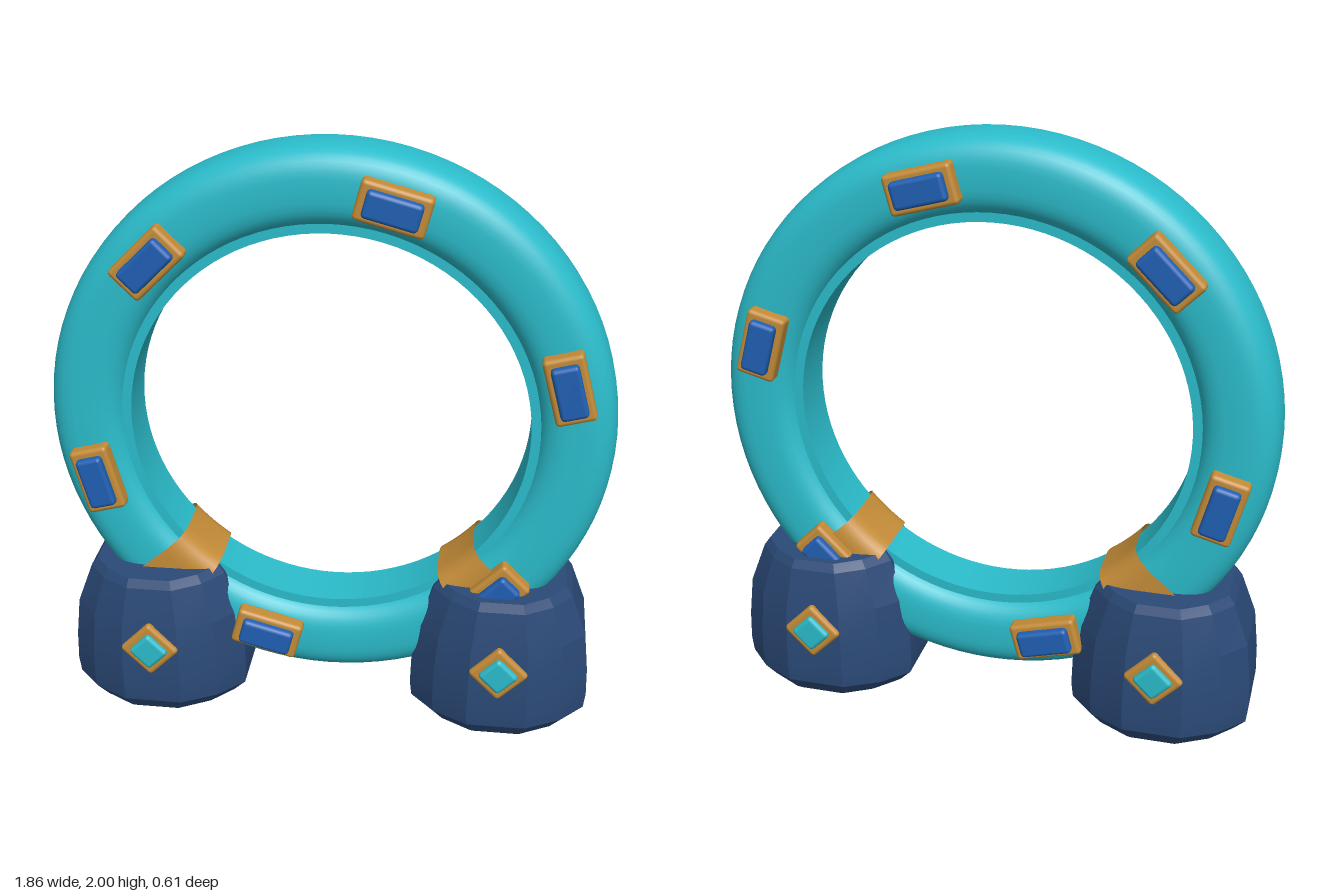
import * as THREE from 'three';
import { toCreasedNormals } from 'three/addons/utils/BufferGeometryUtils.js';
import { RoundedBoxGeometry } from 'three/addons/geometries/RoundedBoxGeometry.js';

const RING_Y = 1.07;

function material(name, color, side = THREE.FrontSide) {
  const m = new THREE.MeshStandardMaterial({ color, side });
  m.name = name;
  return m;
}

// Closed superellipse cross-section of the ring (radius, depth)
function section(centre, halfWidth, halfDepth, power, n = 40) {
  const bend = (v) => Math.sign(v) * Math.abs(v) ** (2 / power);
  return Array.from({ length: n + 1 }, (_, i) => {
    const a = (i / n) * Math.PI * 2;
    return new THREE.Vector2(centre + halfWidth * bend(Math.cos(a)), halfDepth * bend(Math.sin(a)));
  });
}

// Sweep a section around the z axis; phi = 0 points straight down
function sweep(points, segments, start = 0, length = Math.PI * 2) {
  return new THREE.LatheGeometry(points, segments, start, length).rotateX(Math.PI / 2);
}

// Faceted foot: a twelve-sided outline stacked in tapering rows
function footGeometry() {
  const quarter = [[0.303, 0.12], [0.22, 0.21], [0.1, 0.275]];
  const outline = [
    ...quarter,
    ...quarter.map(([x, z]) => [-x, z]).reverse(),
    ...quarter.map(([x, z]) => [-x, -z]),
    ...quarter.map(([x, z]) => [x, -z]).reverse(),
  ];
  const rows = [ // y, x scale, z scale
    [0, 0.74, 0.78], [0.02, 0.84, 0.87], [0.065, 0.98, 0.98], [0.12, 1, 1],
    [0.22, 0.99, 1], [0.36, 0.94, 0.98], [0.5, 0.77, 0.89], [0.53, 0.7, 0.84],
  ];
  const n = outline.length;
  const pos = [];
  const index = [];
  for (const [y, sx, sz] of rows) for (const [x, z] of outline) pos.push(x * sx, y, z * sz);
  for (let r = 0; r < rows.length - 1; r++) {
    for (let i = 0; i < n; i++) {
      const a = r * n + i, b = r * n + (i + 1) % n;
      index.push(a, a + n, b, b, a + n, b + n);
    }
  }
  // Flat bottom and top
  const top = (rows.length - 1) * n;
  for (let i = 1; i < n - 1; i++) {
    index.push(0, i, i + 1);
    index.push(top, top + i + 1, top + i);
  }
  const g = new THREE.BufferGeometry();
  g.setAttribute('position', new THREE.Float32BufferAttribute(pos, 3));
  g.setIndex(index);
  return toCreasedNormals(g, 0.2);
}

export function createModel() {
  const model = new THREE.Group();
  model.name = 'ringPortal';

  const teal = material('teal', 0x2bbccb);
  const gold = material('gold', 0xc48c38, THREE.DoubleSide);
  const blue = material('blue', 0x2060b4);
  const navy = material('navy', 0x2b4a78);

  function add(parent, name, geometry, mat, x = 0, y = 0, z = 0) {
    const mesh = new THREE.Mesh(geometry, mat);
    mesh.name = name;
    mesh.position.set(x, y, z);
    parent.add(mesh);
    return mesh;
  }

  // Framed stone lying in the xy plane
  function stone(name, [fw, fh, fd], [sw, sh, sd], lift, mat) {
    const group = new THREE.Group();
    group.name = name;
    add(group, 'frame', new RoundedBoxGeometry(fw, fh, fd, 2, Math.min(fd * 0.35, 0.014)), gold);
    add(group, 'stone', new RoundedBoxGeometry(sw, sh, sd, 2, 0.014), mat, 0, 0, lift);
    model.add(group);
    return group;
  }

  // Ring and its thin inner wall
  add(model, 'ring', sweep(section(0.8, 0.13, 0.135, 2.9), 96), teal, 0, RING_Y);
  const wall = [[0.7, 0.09], [0.655, 0.09], [0.655, -0.09], [0.7, -0.09]]
    .map(([r, d]) => new THREE.Vector2(r, d));
  add(model, 'innerWall', toCreasedNormals(sweep(wall, 96), 0.5), teal, 0, RING_Y);

  // Stones set around the ring on both faces
  for (let i = 0; i < 6; i++) {
    const a = THREE.MathUtils.degToRad(15 + i * 60);
    for (const s of [1, -1]) {
      const gem = stone('ringStone', [0.132, 0.228, 0.06], [0.09, 0.178, 0.05], s * 0.031, blue);
      gem.position.set(0.79 * Math.cos(a), RING_Y + 0.79 * Math.sin(a), s * 0.148);
      gem.rotation.z = a;
    }
  }

  // Feet with gold sleeves gripping the ring and diamond stones front and back
  const foot = footGeometry();
  const sleeveSection = section(0.795, 0.158, 0.147, 4);
  for (const side of [1, -1]) {
    add(model, side > 0 ? 'leftFoot' : 'rightFoot', foot, navy, side * 0.592);
    add(model, side > 0 ? 'leftSleeve' : 'rightSleeve',
      sweep(sleeveSection, 6, side * 0.74 - 0.125, 0.25), gold, 0, RING_Y);
    for (const s of [1, -1]) {
      const diamond = stone('footStone', [0.145, 0.145, 0.04], [0.098, 0.098, 0.04], s * 0.016, teal);
      diamond.position.set(side * 0.592, 0.283, s * 0.268);
      diamond.rotation.z = Math.PI / 4;
    }
  }
  return model;
}
